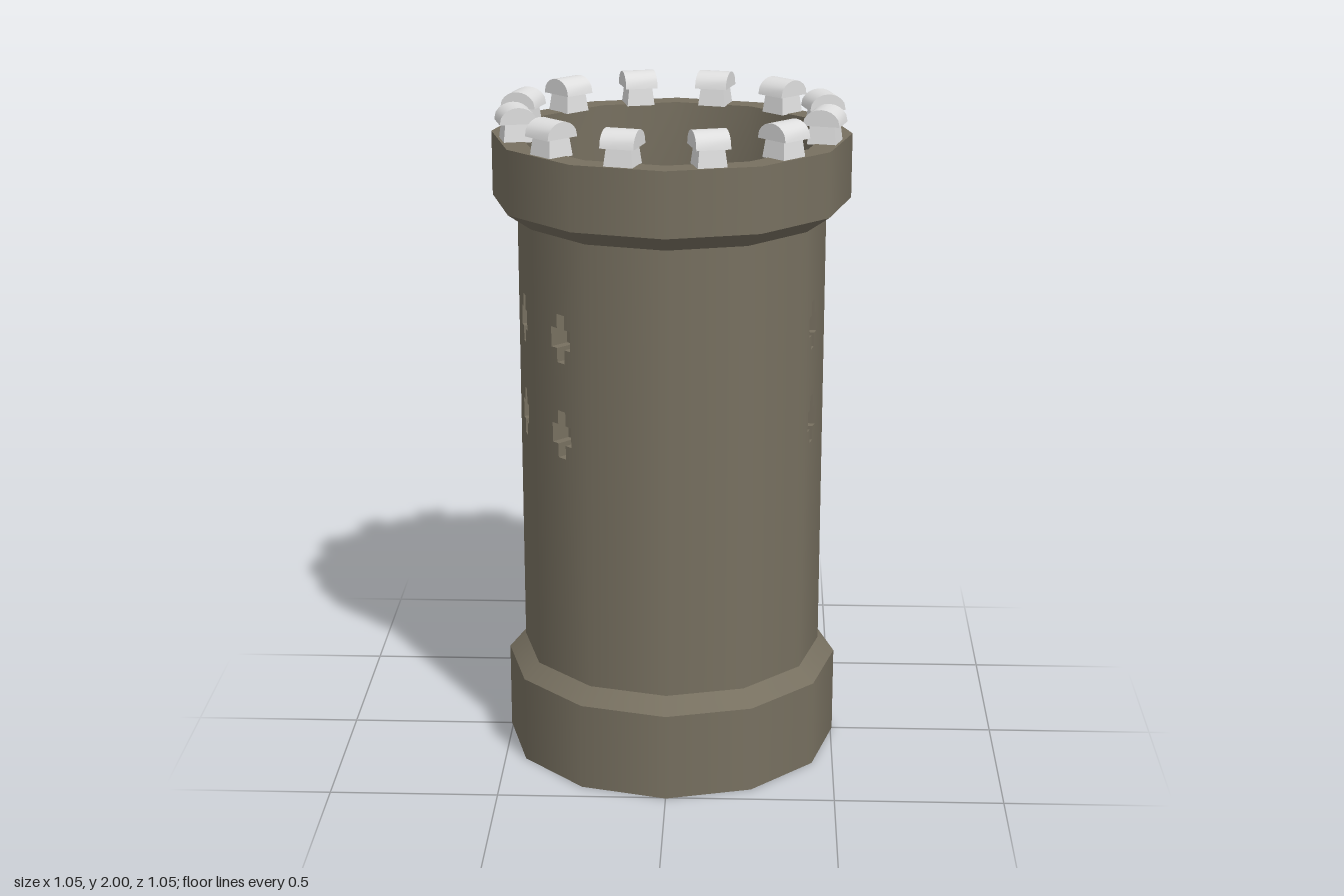
import * as THREE from 'three';
import { toCreasedNormals } from 'three/addons/utils/BufferGeometryUtils.js';

const SIDES = 12;
const R = 0.455; // shaft radius
const STEP = Math.PI / 6;
const HALF = R * Math.sin(STEP / 2); // half width of a wall panel
const APOTHEM = R * Math.cos(STEP / 2);

export function createModel() {
  const stone = new THREE.MeshStandardMaterial({ color: 0x777060 });
  stone.name = 'brown stone';
  const pale = new THREE.MeshStandardMaterial({ color: 0xdedede });
  pale.name = 'pale stone';

  const tower = new THREE.Group();
  tower.name = 'tower';

  function add(parent, name, geometry, material = stone) {
    const mesh = new THREE.Mesh(geometry, material);
    mesh.name = name;
    parent.add(mesh);
    return mesh;
  }

  // Mirror the corners so that faces point inwards
  function insideOut(geometry) {
    geometry.scale(-1, 1, 1);
    geometry.computeVertexNormals();
    return geometry;
  }

  // Open twelve-sided band between two heights
  function band(r0, y0, r1, y1) {
    return new THREE.CylinderGeometry(r1, r0, y1 - y0, SIDES, 1, true).translate(0, (y0 + y1) / 2, 0);
  }

  // Base
  add(tower, 'baseUnderside', new THREE.CircleGeometry(0.505, SIDES).rotateX(Math.PI / 2));
  add(tower, 'base', band(0.505, 0, 0.505, 0.265));
  add(tower, 'baseSlope', band(0.505, 0.265, R, 0.31));

  // Parapet with its sunken floor
  add(tower, 'parapetFlare', band(R, 1.66, 0.527, 1.71));
  add(tower, 'parapet', band(0.527, 1.71, 0.527, 1.9));
  add(tower, 'parapetRim', new THREE.RingGeometry(R, 0.527, SIDES).rotateX(-Math.PI / 2).translate(0, 1.9, 0));
  add(tower, 'parapetInside', insideOut(band(R, 1.69, R, 1.9)));
  add(tower, 'floor', new THREE.CircleGeometry(R, SIDES).rotateX(-Math.PI / 2).translate(0, 1.69, 0));

  // Cross outline for the arrow slits
  function crossPoints(cx, cy) {
    const a = 0.016, w = 0.041, b = 0.03, h = 0.072;
    return [[-a, -h], [a, -h], [a, -b], [w, -b], [w, b], [a, b], [a, h], [-a, h], [-a, b], [-w, b], [-w, -b], [-a, -b]]
      .map(([x, y]) => new THREE.Vector2(cx + x, cy + y));
  }

  // Shaft panels; three neighbouring panels on each side carry slits (panel index: sideways offset)
  const slitOffsets = { 2: -0.021, 3: -0.024, 4: 0.005 };
  for (let i = 0; i < SIDES; i++) {
    const panel = new THREE.Group();
    panel.name = 'shaftPanel';
    panel.rotation.y = (i + 0.5) * STEP;
    tower.add(panel);

    const shape = new THREE.Shape([
      new THREE.Vector2(-HALF, 0.31), new THREE.Vector2(HALF, 0.31),
      new THREE.Vector2(HALF, 1.66), new THREE.Vector2(-HALF, 1.66),
    ]);
    const offset = slitOffsets[i % 6];
    if (offset !== undefined) {
      for (const y of [1.07, 1.36]) {
        shape.holes.push(new THREE.Path(crossPoints(offset, y)));
        const recess = new THREE.ExtrudeGeometry(new THREE.Shape(crossPoints(0, y)), { depth: 0.06, bevelEnabled: false });
        add(panel, 'arrowSlit', insideOut(recess)).position.set(offset, 0, APOTHEM - 0.06);
      }
    }
    const wall = new THREE.ShapeGeometry(shape).translate(0, 0, APOTHEM);
    // Round the shading across the flat panel
    const pos = wall.attributes.position;
    for (let v = 0; v < pos.count; v++) {
      const t = (pos.getX(v) / HALF) * STEP / 2;
      wall.attributes.normal.setXYZ(v, Math.sin(t), 0, Math.cos(t));
    }
    add(panel, 'shaftWall', wall);
  }

  // Battlements: a tapered stem under an arched cap
  const arch = new THREE.Shape();
  arch.moveTo(-0.054, 1.952);
  arch.lineTo(0.054, 1.952);
  arch.lineTo(0.05, 1.972);
  arch.bezierCurveTo(0.03, 2.009, -0.03, 2.009, -0.05, 1.972);
  const capGeometry = toCreasedNormals(
    new THREE.ExtrudeGeometry(arch, { depth: 0.098, bevelEnabled: false, curveSegments: 8 }).translate(0, 0, -0.049), 0.6);
  const stemGeometry = toCreasedNormals(
    new THREE.CylinderGeometry(0.05, 0.06, 0.06, 4, 1).rotateY(Math.PI / 4).translate(0, 1.928, 0), 0.5);
  for (let i = 0; i < SIDES; i++) {
    const merlon = new THREE.Group();
    merlon.name = 'battlement';
    merlon.rotation.y = (i + 0.5) * STEP;
    tower.add(merlon);
    add(merlon, 'battlementCap', capGeometry, pale).position.x = 0.459;
    add(merlon, 'battlementStem', stemGeometry, pale).position.x = 0.459;
  }

  return tower;
}
